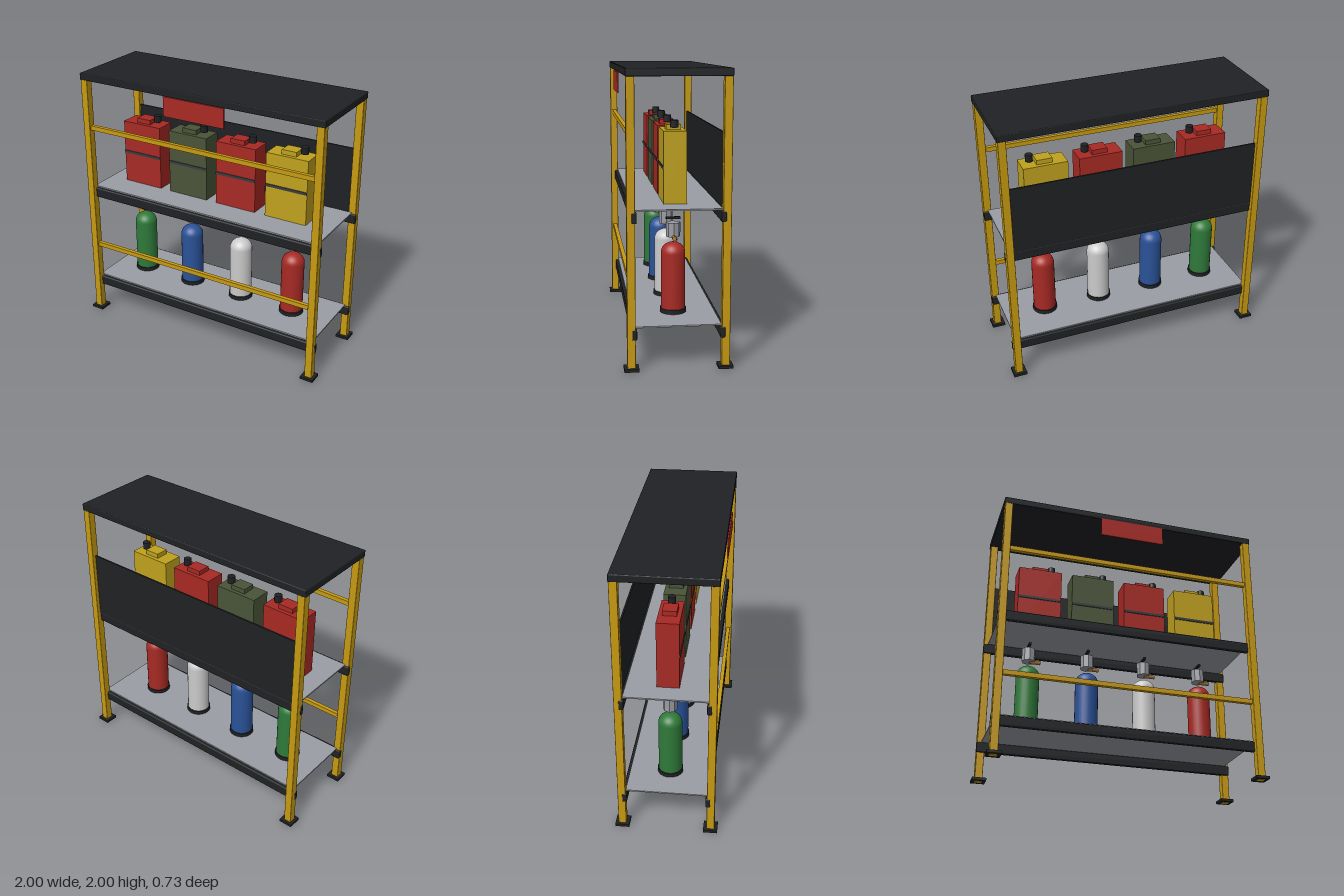
import * as THREE from 'three';
import { RoundedBoxGeometry } from 'three/addons/geometries/RoundedBoxGeometry.js';

const mat = (color, extra = {}) => new THREE.MeshStandardMaterial({ color, ...extra });
const M = {
  yellow: mat(0xc79a12),
  black: mat(0x1f2124),
  steel: mat(0x9a9da4),
  valve: mat(0x9a9da4, { flatShading: true }),
  strap: mat(0x3a3c40),
  brass: mat(0xb08040),
  sign: mat(0xa82a24),
};

export function createModel() {
  const root = new THREE.Group();
  root.name = 'storageRack';

  function add(parent, name, geometry, material, x, y, z) {
    const mesh = new THREE.Mesh(geometry, material);
    mesh.name = name;
    mesh.position.set(x, y, z);
    parent.add(mesh);
    return mesh;
  }
  const box = (w, h, d) => new THREE.BoxGeometry(w, h, d);
  const softBox = (w, h, d, r = 0.004) => new RoundedBoxGeometry(w, h, d, 1, r);

  // Corner posts and feet
  for (const sx of [-1, 1]) {
    for (const sz of [-1, 1]) {
      add(root, 'post', softBox(0.056, 1.95, 0.056), M.yellow, sx * 0.952, 0.975, sz * 0.316);
      add(root, 'foot', box(0.1, 0.02, 0.1), M.black, sx * 0.95, 0.013, sz * 0.315);
    }
  }

  // Roof and front sign
  add(root, 'roof', softBox(1.97, 0.052, 0.692, 0.006), M.black, 0, 1.969, 0);
  add(root, 'signPlate', box(0.49, 0.145, 0.01), M.sign, 0, 1.872, 0.349);

  // Shelves with front and back beams
  for (const y of [0.3, 1.085]) {
    add(root, 'shelf', box(1.9, 0.01, 0.58), M.steel, 0, y - 0.005, 0);
    for (const sz of [-1, 1]) {
      add(root, 'shelfBeam', softBox(1.965, 0.075, 0.035, 0.008), M.black, 0, y - 0.048, sz * 0.295);
    }
  }

  // Front guard rails and back panel
  for (const y of [0.593, 1.575]) {
    add(root, 'guardRail', box(1.86, 0.034, 0.03), M.yellow, 0, y, 0.315);
  }
  add(root, 'backPanel', box(1.86, 0.5, 0.012), M.black, 0, 1.325, -0.31);

  // Fuel cans
  [0xa82a24, 0x4a5438, 0xa82a24, 0xbfa11e].forEach((color, i) => {
    const can = new THREE.Group();
    can.name = 'fuelCan';
    can.position.set(-0.641 + i * 0.411, 1.085, 0);
    const paint = mat(color);
    add(can, 'canBody', box(0.327, 0.49, 0.156), paint, 0, 0.245, 0);
    add(can, 'canHandle', box(0.116, 0.035, 0.1), paint, 0, 0.507, 0);
    add(can, 'canCap', new THREE.CylinderGeometry(0.028, 0.028, 0.05, 12), M.black, 0.098, 0.533, 0);
    add(can, 'canStrap', box(0.325, 0.02, 0.01), M.strap, 0, 0.245, 0.079);
    root.add(can);
  });

  // Gas bottles: one profile for wall and dome
  const profile = [new THREE.Vector2(0, 0), new THREE.Vector2(0.085, 0), new THREE.Vector2(0.085, 0)];
  for (let i = 0; i <= 10; i++) {
    const a = (i / 10) * Math.PI / 2;
    profile.push(new THREE.Vector2(0.085 * Math.cos(a), 0.423 + 0.076 * Math.sin(a)));
  }
  const bottleGeometry = new THREE.LatheGeometry(profile, 24);
  [0x2f7a3a, 0x2a5298, 0xd0d2d4, 0xa82a24].forEach((color, i) => {
    const bottle = new THREE.Group();
    bottle.name = 'gasBottle';
    bottle.position.set(-0.69 + i * 0.441, 0.3, 0);
    add(bottle, 'bottleBody', bottleGeometry, mat(color), 0, 0, 0);
    add(bottle, 'bottleBase', new THREE.CylinderGeometry(0.092, 0.092, 0.03, 24), M.black, 0, 0.018, 0);
    add(bottle, 'valveBody', new THREE.CylinderGeometry(0.05, 0.05, 0.098, 8), M.valve, 0, 0.587, 0);
    const outlet = add(bottle, 'valveOutlet', new THREE.CylinderGeometry(0.015, 0.015, 0.08, 10), M.brass, 0.048, 0.539, 0);
    outlet.rotation.z = Math.PI / 2;
    add(bottle, 'valveLever', box(0.018, 0.016, 0.1), M.black, 0, 0.667, 0);
    root.add(bottle);
  });

  return root;
}
